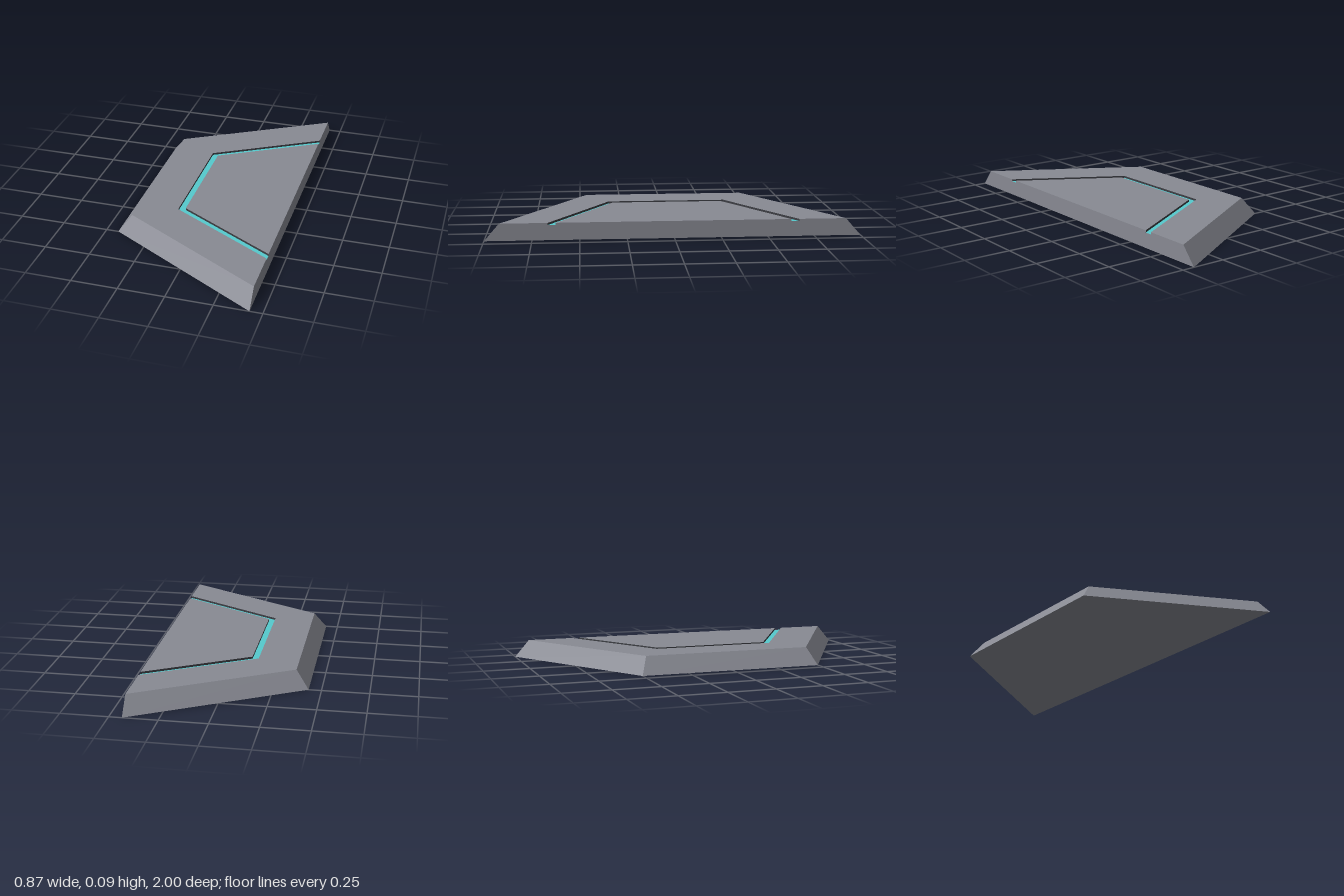
import * as THREE from 'three';

const CUT = 0.433;     // x of the straight cut side, centre of the hexagon
const H = 0.0925;      // slab height
const FLOOR = 0.081;   // groove floor height

// Half hexagon corners of radius r at height y
function ring([r, y]) {
  return [[0, 1], [-0.866, 0.5], [-0.866, -0.5], [0, -1]]
    .map(([x, z]) => [CUT + x * r, y, z * r]);
}

// Faceted surface swept through consecutive [radius, height] rings
function bands(profile) {
  const pos = [];
  for (let i = 0; i < profile.length - 1; i++) {
    const a = ring(profile[i]), b = ring(profile[i + 1]);
    for (let j = 0; j < 3; j++) {
      if (profile[i][0] > 0) pos.push(...a[j], ...b[j], ...a[j + 1]);
      if (profile[i + 1][0] > 0) pos.push(...b[j], ...b[j + 1], ...a[j + 1]);
    }
  }
  const geo = new THREE.BufferGeometry();
  geo.setAttribute('position', new THREE.Float32BufferAttribute(pos, 3));
  geo.computeVertexNormals();
  return geo;
}

export function createModel() {
  const grey = new THREE.MeshStandardMaterial({ color: 0x888a93 });
  grey.name = 'slab grey';
  const dark = new THREE.MeshStandardMaterial({ color: 0x3c3e43 });
  dark.name = 'groove wall dark grey';
  const cyan = new THREE.MeshStandardMaterial({ color: 0x55cacd });
  cyan.name = 'inlay cyan';

  const model = new THREE.Group();
  model.name = 'halfHexagonTile';
  const add = (name, geo, mat) => {
    const mesh = new THREE.Mesh(geo, mat);
    mesh.name = name;
    model.add(mesh);
    return mesh;
  };

  const outer = [[1, 0], [0.92, H], [0.667, H]];
  const groove = [[0.667, FLOOR], [0.625, FLOOR]];
  const inner = [[0.625, H], [0, H]];

  // Underside, sloped rim and raised top
  add('slabRim', bands([[0, 0], ...outer]), grey);
  add('slabCentre', bands(inner), grey);

  // Recessed groove with coloured floor
  add('grooveOuterWall', bands([outer[2], groove[0]]), dark);
  add('grooveInnerWall', bands([groove[1], inner[0]]), dark);
  add('grooveInlay', bands(groove), cyan);

  // Flat cut side with the two groove notches
  const half = [...outer, ...groove, inner[0]];
  const outline = [...half, ...half.map(([r, y]) => [-r, y]).reverse()];
  const cut = new THREE.ShapeGeometry(new THREE.Shape(outline.map(p => new THREE.Vector2(...p))));
  cut.rotateY(Math.PI / 2);
  cut.translate(CUT, 0, 0);
  add('cutSide', cut, grey);

  return model;
}
